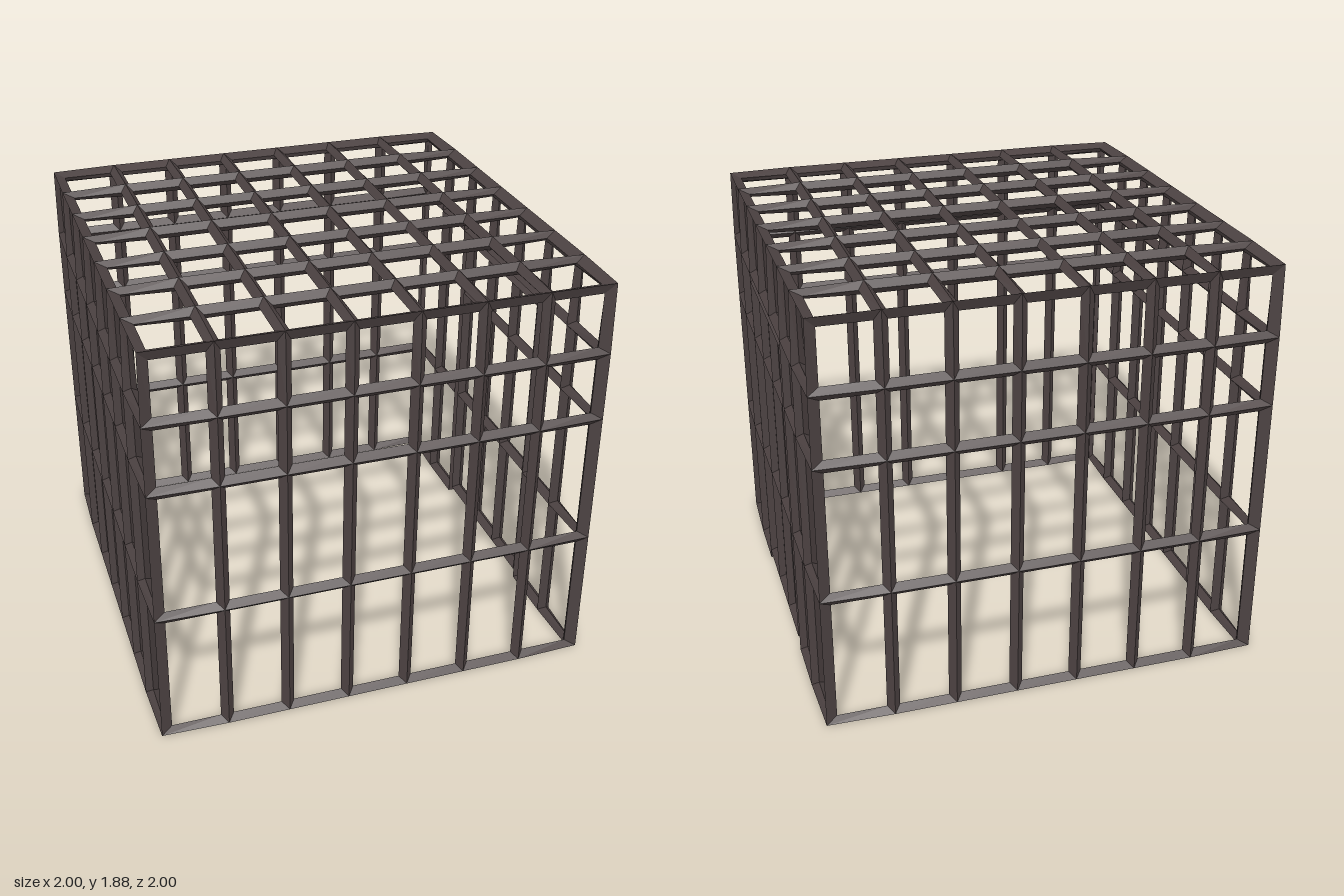
import * as THREE from 'three';

const SIDE = 0.97;   // half width of the cage, to bar centres
const TOP = 1.85;    // roof height, to bar centres
const DEPTH = 0.03;  // half depth of a bar
const INSET = 0.029; // half width of a bar

const columns = Array.from({ length: 8 }, (_, i) => -SIDE + (i * 2 * SIDE) / 7);
const rows = [0, 0.62, 1.233, 1.547, TOP];

// Outward direction at a cage point, mitred along edges and corners
function cageNormal(p) {
  const at = (v) => (Math.abs(v) > SIDE - 1e-4 ? Math.sign(v) : 0);
  return new THREE.Vector3(at(p.x), p.y > TOP - 1e-4 ? 1 : 0, at(p.z)).normalize();
}

// Lattice panel: each cell is edged by half of a diamond-section bar.
// isOpen(i, j) tells where a neighbouring cell is missing, so the bar gets a flat cap.
function latticePanel(name, material, map, us, vs, normalAt, isOpen) {
  const pos = [];
  const quad = (a, b, c, d) => [a, b, c, a, c, d].forEach((p) => pos.push(p.x, p.y, p.z));
  for (let i = 0; i < us.length - 1; i++) {
    for (let j = 0; j < vs.length - 1; j++) {
      if (isOpen(i, j)) continue;
      const corners = [[0, 0], [1, 0], [1, 1], [0, 1]].map(([a, b]) => {
        const u = us[i + a], v = vs[j + b];
        const p = map(u, v), n = normalAt(p);
        return {
          outer: p.clone().addScaledVector(n, DEPTH),
          inner: p.clone().addScaledVector(n, -DEPTH),
          inset: map(u + (a ? -INSET : INSET), v + (b ? -INSET : INSET)),
        };
      });
      const neighbours = [[i, j - 1], [i + 1, j], [i, j + 1], [i - 1, j]];
      for (let k = 0; k < 4; k++) {
        const a = corners[k], b = corners[(k + 1) % 4];
        quad(a.outer, b.outer, b.inset, a.inset);
        quad(b.inner, a.inner, a.inset, b.inset);
        if (isOpen(...neighbours[k])) quad(a.inner, b.inner, b.outer, a.outer);
      }
    }
  }
  const geometry = new THREE.BufferGeometry();
  geometry.setAttribute('position', new THREE.Float32BufferAttribute(pos, 3));
  geometry.computeVertexNormals();
  const mesh = new THREE.Mesh(geometry, material);
  mesh.name = name;
  return mesh;
}

export function createModel() {
  const group = new THREE.Group();
  group.name = 'cage';
  const iron = new THREE.MeshStandardMaterial({ color: 0x4c4242 });
  iron.name = 'dark iron';

  const V = (x, y, z) => new THREE.Vector3(x, y, z);
  const belowWall = (i, j) => j < 0;
  const doorway = (i, j) => j < 0 || (i >= 2 && i <= 4 && j <= 2);

  // Four walls, one with a doorway
  const walls = [
    ['frontWall', (u, v) => V(u, v, SIDE), belowWall],
    ['backWall', (u, v) => V(-u, v, -SIDE), belowWall],
    ['doorwayWall', (u, v) => V(SIDE, v, -u), doorway],
    ['plainSideWall', (u, v) => V(-SIDE, v, u), belowWall],
  ];
  for (const [name, map, isOpen] of walls) {
    group.add(latticePanel(name, iron, map, columns, rows, cageNormal, isOpen));
  }

  // Roof
  group.add(latticePanel('roof', iron, (u, v) => V(u, TOP, -v), columns, columns, cageNormal, () => false));

  // Door, slightly smaller than its opening
  const doorColumns = [-0.41, -0.148, 0.114, 0.376];
  const doorRows = [0.045, 0.63, 1.222, 1.51];
  group.add(latticePanel('door', iron, (u, v) => V(SIDE, v, -u), doorColumns, doorRows,
    () => V(1, 0, 0), (i, j) => i < 0 || j < 0 || i > 2 || j > 2));

  return group;
}
